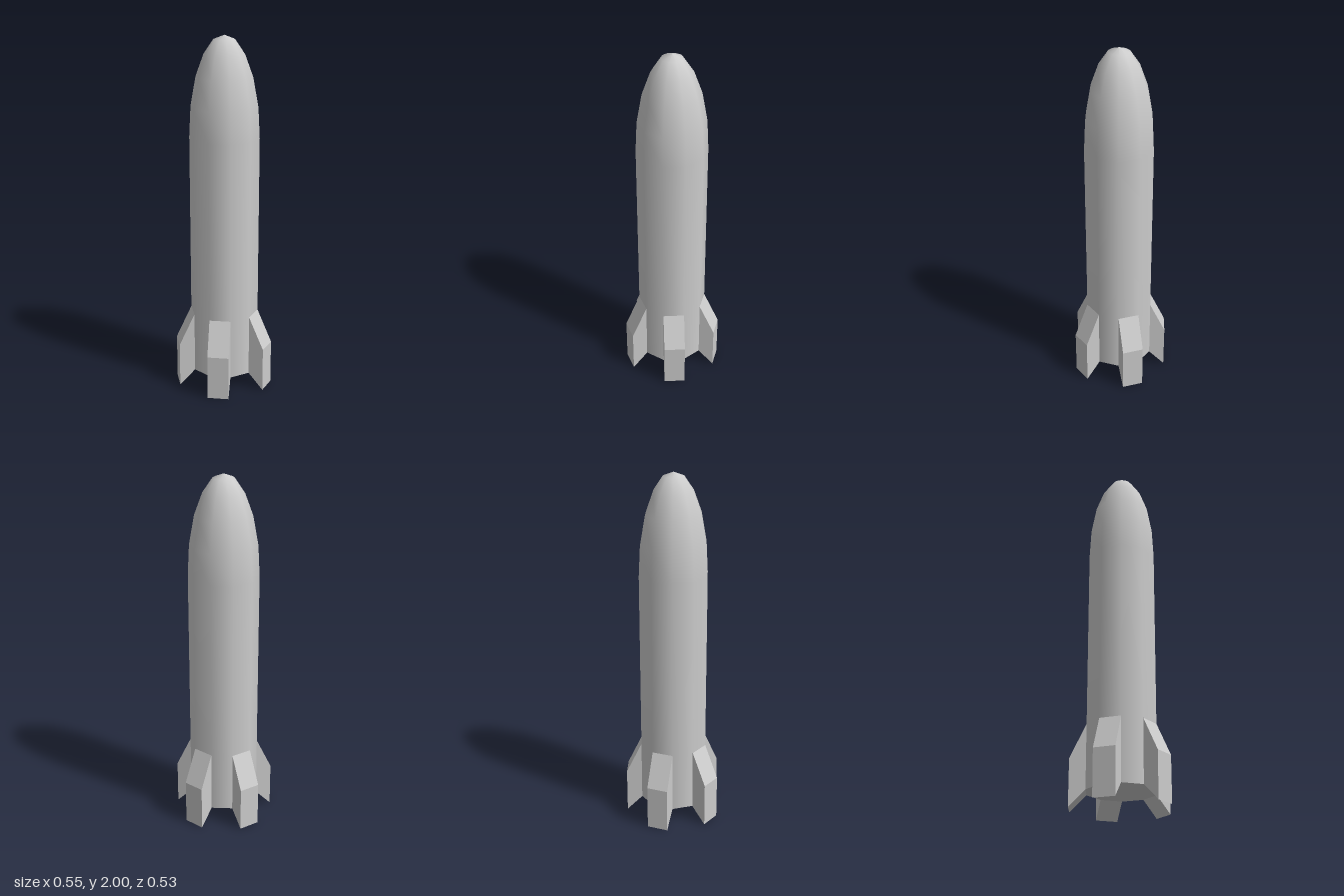
import * as THREE from 'three';

const SIDES = 10;
const RADIUS = 0.193;
const APOTHEM = RADIUS * Math.cos(Math.PI / SIDES);
const BASE_Y = 0.09;
const FINS = 5;

export function createModel() {
  const model = new THREE.Group();
  model.name = 'rocket';
  const material = new THREE.MeshStandardMaterial({ color: 0xcccccc });

  const add = (name, geometry, parent = model) => {
    const mesh = new THREE.Mesh(geometry, material);
    mesh.name = name;
    parent.add(mesh);
    return mesh;
  };

  // Ten-sided hull with a rounded nose, one flat side facing the front
  const profile = [
    [RADIUS, BASE_Y], [RADIUS, 0.44], [RADIUS, 1.45], [0.184, 1.62],
    [0.155, 1.78], [0.111, 1.9], [0.058, 1.978], [0, 2],
  ].map(([r, y]) => new THREE.Vector2(r, y));
  add('hull', new THREE.LatheGeometry(profile, SIDES, Math.PI / SIDES));

  // Flat underside
  const base = new THREE.CircleGeometry(RADIUS, SIDES);
  base.rotateX(Math.PI / 2);
  base.translate(0, BASE_Y, 0);
  add('base', base);

  // Five thick fins, each as wide as one hull side
  const width = 2 * RADIUS * Math.sin(Math.PI / SIDES);
  const outline = new THREE.Shape([
    [APOTHEM, BASE_Y], [0.271, 0], [0.271, 0.255], [APOTHEM, 0.44],
  ].map(([r, y]) => new THREE.Vector2(r, y)));
  const finGeometry = new THREE.ExtrudeGeometry(outline, { depth: width, bevelEnabled: false });
  finGeometry.translate(0, 0, -width / 2);
  finGeometry.rotateY(-Math.PI / 2);

  const fins = new THREE.Group();
  fins.name = 'fins';
  for (let i = 0; i < FINS; i++) {
    add('fin', finGeometry, fins).rotation.y = (i * 2 * Math.PI) / FINS;
  }
  model.add(fins);

  // Centre the uneven five-fin footprint
  model.children.forEach((part) => { part.position.z = -0.009; });
  return model;
}
